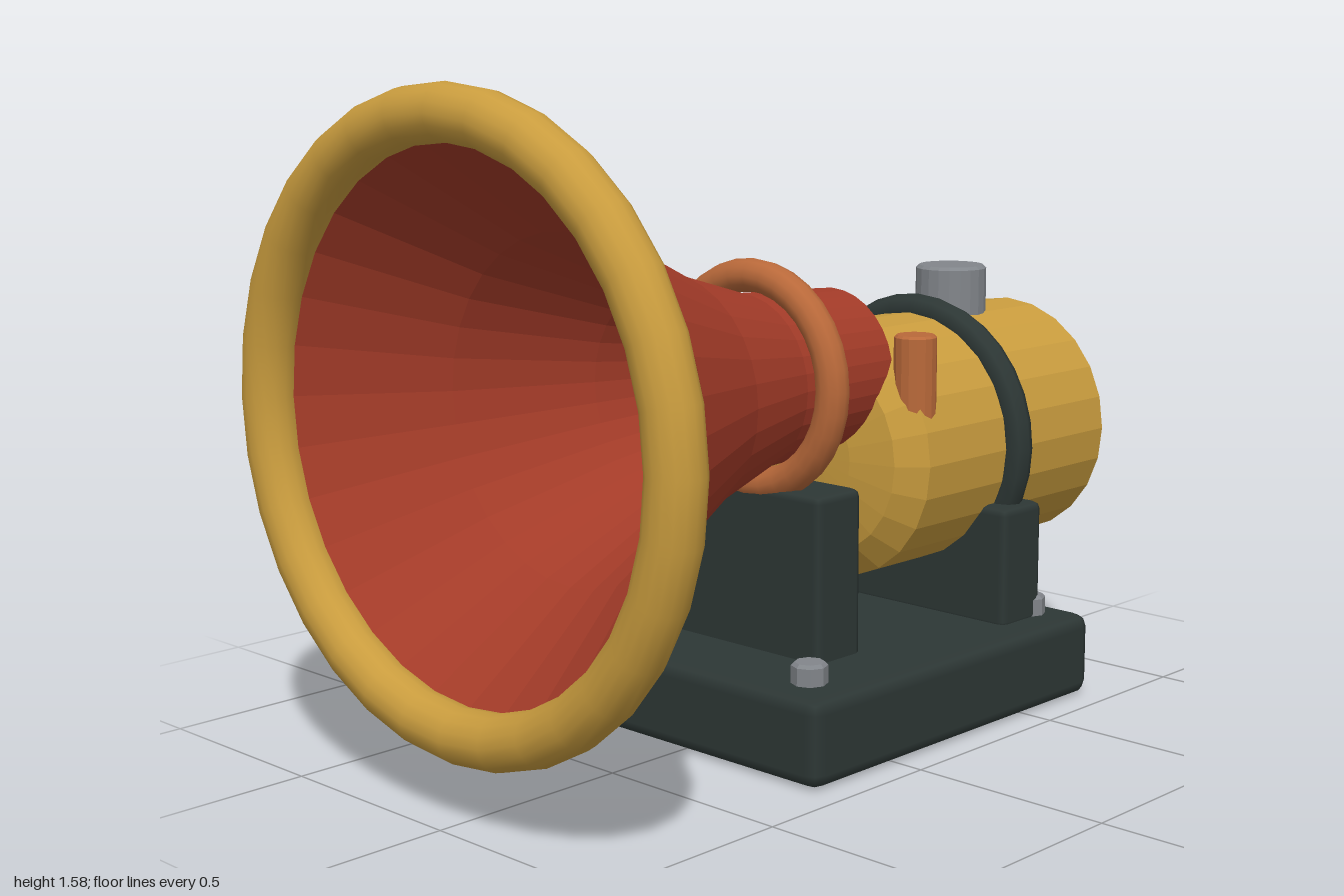
import * as THREE from 'three';
import { RoundedBoxGeometry } from 'three/addons/geometries/RoundedBoxGeometry.js';

const material = (name, color) => {
  const m = new THREE.MeshStandardMaterial({ color });
  m.name = name;
  return m;
};

export function createModel() {
  const red = material('red paint', 0xa33b28);
  const brass = material('brass', 0xc99c3e);
  const iron = material('dark iron', 0x2d3735);
  const copper = material('copper', 0xb9693a);
  const steel = material('steel', 0x82868b);

  const model = new THREE.Group();
  model.name = 'airHorn';

  const add = (name, geometry, mat, x, y, z) => {
    const mesh = new THREE.Mesh(geometry, mat);
    mesh.name = name;
    mesh.position.set(x, y, z);
    model.add(mesh);
    return mesh;
  };
  // One normal per face, for the faceted parts
  const facet = (geometry) => {
    const g = geometry.index ? geometry.toNonIndexed() : geometry;
    g.computeVertexNormals();
    return g;
  };
  // Turned solid along z from [radius, z] pairs
  const turned = (profile, sides) => facet(
    new THREE.LatheGeometry(profile.map(([r, z]) => new THREE.Vector2(r, z)), sides).rotateX(Math.PI / 2));
  // Upright plug with a small chamfer at the top
  const plug = (r, h, bevel, sides) => facet(new THREE.LatheGeometry([
    new THREE.Vector2(0, 0), new THREE.Vector2(r, 0), new THREE.Vector2(r, h - bevel),
    new THREE.Vector2(r - bevel, h), new THREE.Vector2(0, h),
  ], sides));

  const hornY = 0.855;
  const tankY = 0.645;

  // Base and the two saddles
  add('base', new RoundedBoxGeometry(0.87, 0.21, 1.05, 1, 0.035), iron, 0, 0.105, -0.235);
  add('hornSaddle', new RoundedBoxGeometry(0.48, 0.42, 0.155, 1, 0.02), iron, 0, 0.40, -0.0125);
  add('tankSaddle', new RoundedBoxGeometry(0.7, 0.31, 0.155, 1, 0.02), iron, 0, 0.35, -0.58);

  // Base bolts
  for (const x of [-0.317, 0.317]) {
    for (const z of [0.18, -0.65]) add('bolt', plug(0.043, 0.06, 0.008, 8), steel, x, 0.2, z);
  }

  // Flared horn: outer wall forward, inner wall back to a closed throat
  add('horn', turned([
    [0, -0.25], [0.195, -0.25], [0.21, 0.07], [0.28, 0.31], [0.425, 0.62], [0.66, 0.89],
    [0.655, 0.94], [0.61, 0.92], [0.395, 0.62], [0.25, 0.31], [0.175, 0.07], [0.155, -0.1], [0, -0.1],
  ], 32), red, 0, hornY, 0);
  add('hornRim', new THREE.TorusGeometry(0.66, 0.0625, 16, 32), brass, 0, hornY, 0.9375);
  add('hornCollar', new THREE.TorusGeometry(0.25, 0.04, 12, 32), copper, 0, hornY, 0.03);

  // Throat rings and centre cone
  add('throatRing', new THREE.RingGeometry(0.14, 0.154, 32), steel, 0, hornY, -0.095);
  add('innerRing', new THREE.RingGeometry(0.082, 0.092, 32), steel, 0, hornY, -0.095);
  add('throatCone', turned([[0.078, -0.1], [0, 0]], 24), red, 0, hornY, 0);

  // Air tank with its strap
  add('tank', turned([
    [0, -1], [0.275, -1], [0.315, -0.96], [0.315, -0.25], [0.25, -0.195], [0.13, -0.17], [0, -0.165],
  ], 24), brass, 0, tankY, 0);
  add('tankStrap', new THREE.TorusGeometry(0.322, 0.038, 8, 32), iron, 0, tankY, -0.583);

  // Filler cap and side valve
  add('fillerCap', plug(0.091, 0.17, 0.008, 20), steel, 0, 0.9, -0.715);
  add('valve', plug(0.052, 0.255, 0.006, 16), copper, 0.24, 0.7, -0.28);

  return model;
}
